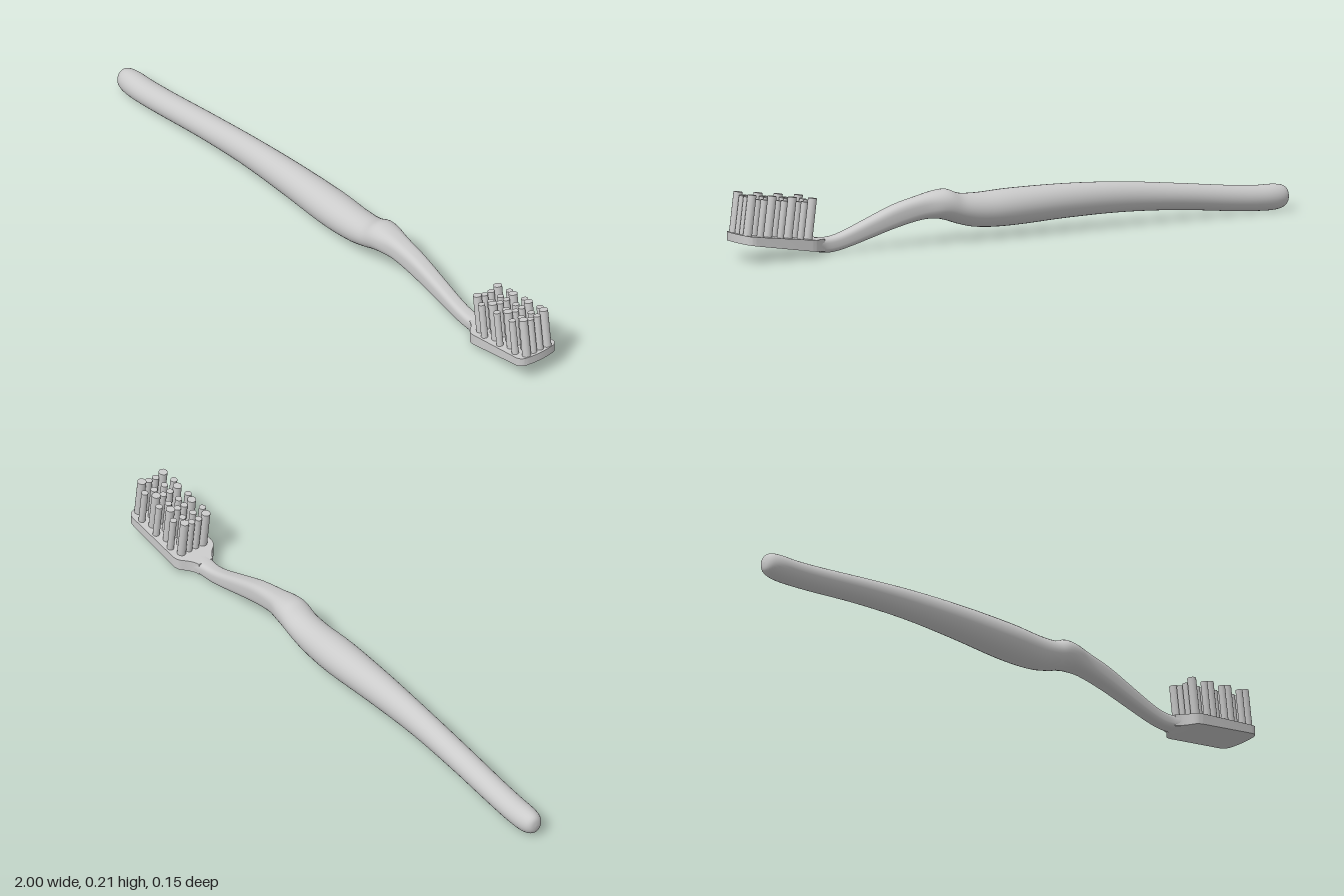
import * as THREE from 'three';
import { toCreasedNormals } from 'three/addons/utils/BufferGeometryUtils.js';

const material = new THREE.MeshStandardMaterial({ color: 0xcccccc });

// Handle cross-sections: x, bottom y, top y, half width, squareness (2 = ellipse)
const SECTIONS = [
  [-1, 0.045, 0.047, 0.001, 2],
  [-0.996, 0.024, 0.069, 0.019, 2],
  [-0.98, 0.011, 0.081, 0.032, 2],
  [-0.945, 0.005, 0.086, 0.039, 2],
  [-0.88, 0.007, 0.087, 0.041, 2],
  [-0.78, 0.015, 0.096, 0.041, 2],
  [-0.6, 0.033, 0.117, 0.042, 2],
  [-0.4, 0.043, 0.138, 0.044, 2],
  [-0.2, 0.042, 0.149, 0.052, 2],
  [0, 0.035, 0.151, 0.06, 2],
  [0.12, 0.039, 0.147, 0.056, 2],
  [0.19, 0.054, 0.151, 0.054, 2],
  [0.235, 0.069, 0.167, 0.053, 2.1],
  [0.275, 0.078, 0.165, 0.048, 2.3],
  [0.33, 0.079, 0.154, 0.036, 2.7],
  [0.42, 0.062, 0.133, 0.03, 3],
  [0.52, 0.035, 0.097, 0.026, 3],
  [0.6, 0.014, 0.067, 0.024, 3],
  [0.65, 0.005, 0.054, 0.024, 3],
  [0.69, 0.006, 0.052, 0.028, 3],
  [0.73, 0.016, 0.055, 0.045, 3],
  [0.77, 0.027, 0.058, 0.05, 3],
];

// Smooth interpolation of all section values at fractional index t
function sectionAt(t) {
  const n = SECTIONS.length - 1;
  const i = Math.min(Math.floor(t), n - 1), f = t - i;
  const at = (k) => SECTIONS[Math.max(0, Math.min(n, k))];
  return SECTIONS[0].map((_, c) => {
    const a = at(i - 1)[c], b = at(i)[c], d = at(i + 1)[c], e = at(i + 2)[c];
    const m0 = (d - a) / 2, m1 = (e - b) / 2;
    return b + f * (m0 + f * (3 * (d - b) - 2 * m0 - m1 + f * (2 * (b - d) + m0 + m1)));
  });
}

// Handle and neck lofted through rounded sections
function handleGeometry() {
  const rings = (SECTIONS.length - 1) * 4, sides = 32;
  const positions = [], index = [];
  const power = (v, p) => Math.sign(v) * Math.pow(Math.abs(v), 2 / p);
  for (let r = 0; r <= rings; r++) {
    const [x, lo, hi, w, p] = sectionAt(r / 4);
    for (let s = 0; s < sides; s++) {
      const a = (s / sides) * Math.PI * 2;
      positions.push(x, (lo + hi) / 2 + power(Math.sin(a), p) * (hi - lo) / 2, power(Math.cos(a), p) * w);
      if (r === rings) continue;
      const i = r * sides + s, j = r * sides + (s + 1) % sides;
      index.push(i, i + sides, j, j, i + sides, j + sides);
    }
  }
  // close both ends
  for (const [r, flip] of [[0, false], [rings, true]]) {
    const b = r * sides;
    for (let s = 1; s < sides - 1; s++) {
      index.push(b, b + s + (flip ? 1 : 0), b + s + (flip ? 0 : 1));
    }
  }
  const geometry = new THREE.BufferGeometry();
  geometry.setAttribute('position', new THREE.Float32BufferAttribute(positions, 3));
  geometry.setIndex(index);
  geometry.computeVertexNormals();
  return geometry;
}

const headBottom = (x) => 0.022 + 0.16 * (x - 0.75);
const headTop = (x) => 0.058 + 0.125 * (x - 0.75);

// Head plate: flared, rounded outline, tilted and thinning to the tip
function headGeometry() {
  const shape = new THREE.Shape();
  shape.moveTo(0.69, -0.027);
  shape.quadraticCurveTo(0.71, -0.032, 0.732, -0.06);
  shape.quadraticCurveTo(0.743, -0.074, 0.765, -0.074);
  shape.lineTo(0.965, -0.074);
  shape.quadraticCurveTo(0.992, -0.074, 0.996, -0.045);
  shape.quadraticCurveTo(1.004, 0, 0.996, 0.045);
  shape.quadraticCurveTo(0.992, 0.074, 0.965, 0.074);
  shape.lineTo(0.765, 0.074);
  shape.quadraticCurveTo(0.743, 0.074, 0.732, 0.06);
  shape.quadraticCurveTo(0.71, 0.032, 0.69, 0.027);
  shape.closePath();
  const geometry = new THREE.ExtrudeGeometry(shape, { depth: 1, bevelEnabled: false, curveSegments: 8 });
  geometry.rotateX(-Math.PI / 2);
  const pos = geometry.attributes.position;
  for (let i = 0; i < pos.count; i++) {
    const x = pos.getX(i);
    pos.setY(i, THREE.MathUtils.lerp(headBottom(x), headTop(x), pos.getY(i)));
  }
  return toCreasedNormals(geometry, 0.6);
}

// Bristle tufts in staggered columns, square to the tilted head
function bristles() {
  const group = new THREE.Group();
  group.name = 'bristles';
  const tilt = 0.13;
  for (let c = 0; c < 7; c++) {
    const x = 0.761 + c * 0.0365;
    const tall = c % 2 === 0;
    const rows = tall ? [[0.041, 0.014, 0.127], [0.013, 0.011, 0.118]]
      : [[0.056, 0.011, 0.116], [0.02, 0.011, 0.112]];
    for (const [z, radius, height] of rows) {
      for (const side of [-1, 1]) {
        const length = height + 0.008;
        const geometry = new THREE.CylinderGeometry(radius, radius, length, 14);
        geometry.translate(0, length / 2 - 0.008, 0);
        const tuft = new THREE.Mesh(geometry, material);
        tuft.name = 'tuft';
        tuft.position.set(x, headTop(x), side * z);
        tuft.rotation.z = tilt;
        group.add(tuft);
      }
    }
  }
  return group;
}

export function createModel() {
  const model = new THREE.Group();
  model.name = 'toothbrush';
  const handle = new THREE.Mesh(handleGeometry(), material);
  handle.name = 'handle';
  const head = new THREE.Mesh(headGeometry(), material);
  head.name = 'head';
  model.add(handle, head, bristles());
  return model;
}
